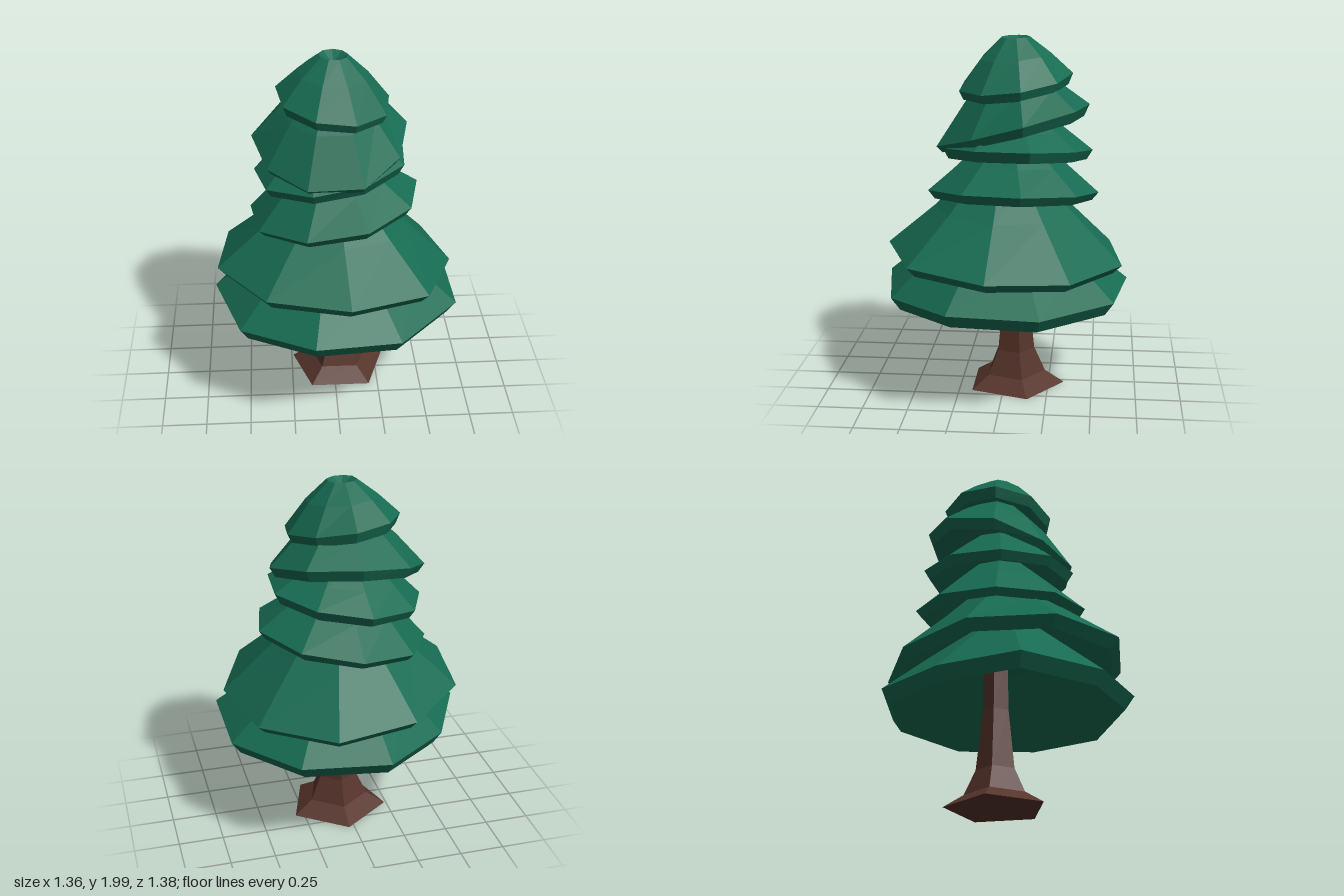
import * as THREE from 'three';

const green = new THREE.MeshStandardMaterial({ color: 0x176b52, flatShading: true });
const brown = new THREE.MeshStandardMaterial({ color: 0x56342b, flatShading: true });

// Loft rings of [radius, height] about a centre; tilt leans the wide rings, fading inwards.
// angle is in degrees, counter-clockwise from +x seen from above.
function loft(profile, { sides, angle, x, z, tilt = [0, 0], wave = 0, uneven = [] }) {
  const widest = Math.max(...profile.map(p => p[0]));
  const positions = [], index = [];
  for (const [radius, height] of profile) {
    for (let k = 0; k < sides; k++) {
      const a = THREE.MathUtils.degToRad(angle + (k * 360) / sides);
      const r = radius * (1 + (uneven.length ? uneven[k % uneven.length] : 0));
      const px = Math.cos(a) * r, pz = -Math.sin(a) * r;
      const fade = radius / widest;
      const lift = (tilt[0] * px + tilt[1] * pz) * fade
        + wave * fade * Math.cos(4 * (a - THREE.MathUtils.degToRad(259)));
      positions.push(x + px, height + lift, z + pz);
    }
  }
  for (let i = 0; i < profile.length - 1; i++) {
    for (let k = 0; k < sides; k++) {
      const n = (k + 1) % sides;
      const a = i * sides + k, b = i * sides + n, c = b + sides, d = a + sides;
      if (profile[i][0] > 0) index.push(a, b, c);
      if (profile[i + 1][0] > 0) index.push(a, c, d);
      else if (profile[i][0] > 0) index.splice(-3, 3, a, b, d);
    }
  }
  const geometry = new THREE.BufferGeometry();
  geometry.setAttribute('position', new THREE.Float32BufferAttribute(positions, 3));
  geometry.setIndex(index);
  geometry.computeVertexNormals();
  return geometry;
}

// Tiers from the ground up: rim = [radius, height], then the rings above it
const tiers = [
  { rim: [0.7, 0.6], lip: 0.075, above: [[0.46, 0.8], [0.22, 1.0]], hollow: 0.24,
    angle: -101, x: 0, z: 0, wave: 0.014,
    uneven: [0, -0.01, 0.035, 0.015, 0.025, 0, -0.09, -0.025, -0.01] },
  { rim: [0.67, 0.8], lip: 0.055, above: [[0.4, 1.04], [0.22, 1.22]], hollow: 0.2,
    angle: -5, x: 0, z: 0, tilt: [-0.04, 0.054],
    uneven: [-0.01, 0, 0.015, -0.03, 0, 0.015, 0.015, -0.01, 0.03] },
  { rim: [0.48, 1.135], lip: 0.045, above: [[0.31, 1.285], [0.18, 1.4]], hollow: 0.12,
    angle: 90, x: 0, z: -0.035, tilt: [0.138, 0.01], uneven: [0.01, 0, -0.01, 0.015] },
  { rim: [0.43, 1.37], lip: 0.055, above: [[0.3, 1.47], [0.16, 1.58]], hollow: 0.1,
    angle: 95, x: -0.02, z: -0.05, tilt: [0.13, 0.01], uneven: [0.01, 0, -0.02] },
  { rim: [0.425, 1.51], lip: 0.05, above: [[0.27, 1.685], [0.14, 1.8]], hollow: 0.12,
    angle: 90, x: -0.01, z: -0.05, tilt: [0.07, -0.28], uneven: [-0.03, 0.01, 0.05] },
  { rim: [0.315, 1.755], lip: 0.055, above: [[0.195, 1.89], [0.08, 1.99], [0, 1.94]], hollow: 0.06,
    angle: 90, x: 0, z: -0.05, tilt: [-0.11, -0.13], uneven: [0.01, -0.01, 0] },
];

export function createModel() {
  const tree = new THREE.Group();
  tree.name = 'pineTree';

  // Flared five-sided trunk with a closed base
  const trunk = new THREE.Mesh(
    loft([[0, 0], [0.285, 0], [0.175, 0.07], [0.112, 0.21], [0.076, 0.55], [0.07, 0.9], [0, 0.9]],
      { sides: 5, angle: 90, x: 0.03, z: -0.055 }), brown);
  trunk.name = 'trunk';
  tree.add(trunk);

  // Overlapping skirts of foliage, each hollow underneath with a bevelled lip
  const foliage = new THREE.Group();
  foliage.name = 'foliage';
  tiers.forEach((t, i) => {
    const [r, y] = t.rim;
    const profile = [
      [0, y + t.hollow], [r * 0.3, y + t.hollow], [r * 0.925, y - t.lip], t.rim, ...t.above,
    ];
    const mesh = new THREE.Mesh(loft(profile, { sides: 9, ...t }), green);
    mesh.name = `foliageTier${i + 1}`;
    foliage.add(mesh);
  });
  tree.add(foliage);
  return tree;
}
